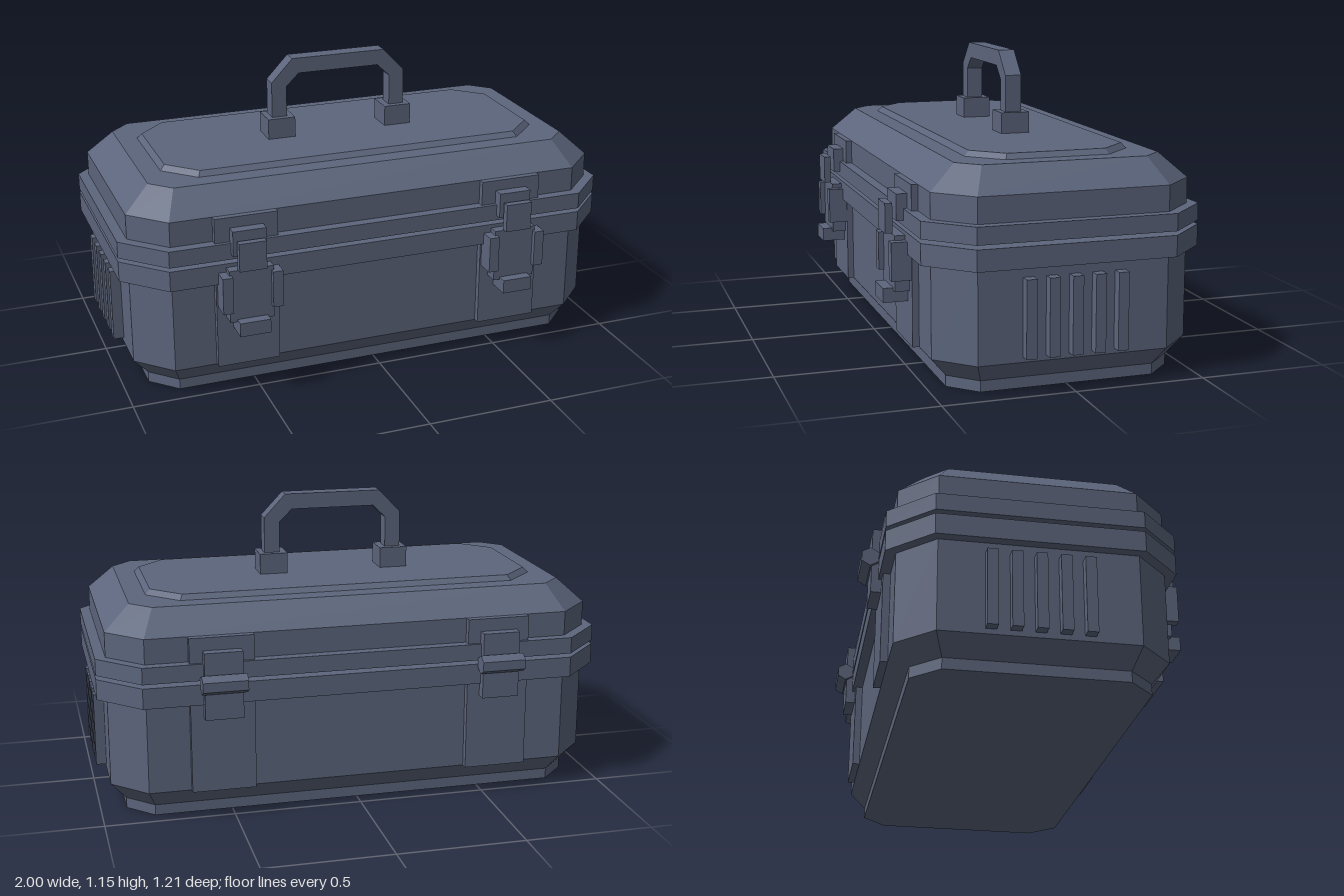
import * as THREE from 'three';

const ZC = -0.006; // shared depth centre of the shells

// Loft through chamfered rectangles: each ring is [y, halfX, halfZ, chamfer]
function octagonLoft(rings) {
  const loops = rings.map(([y, hx, hz, c]) => [
    [hx, hz - c], [hx, c - hz], [hx - c, -hz], [c - hx, -hz],
    [-hx, c - hz], [-hx, hz - c], [c - hx, hz], [hx - c, hz],
  ].map(([x, z]) => [x, y, z + ZC]));
  const pos = [];
  const tri = (a, b, c) => pos.push(...a, ...b, ...c);
  for (let r = 0; r < loops.length - 1; r++) {
    const a = loops[r], b = loops[r + 1];
    for (let i = 0; i < 8; i++) {
      const j = (i + 1) % 8;
      tri(a[i], a[j], b[j]);
      tri(a[i], b[j], b[i]);
    }
  }
  const bottom = loops[0], top = loops[loops.length - 1];
  for (let i = 1; i < 7; i++) {
    tri(top[0], top[i], top[i + 1]);
    tri(bottom[0], bottom[i + 1], bottom[i]);
  }
  const geo = new THREE.BufferGeometry();
  geo.setAttribute('position', new THREE.Float32BufferAttribute(pos, 3));
  geo.computeVertexNormals();
  return geo;
}

export function createModel() {
  const model = new THREE.Group();
  model.name = 'toolbox';
  const paint = new THREE.MeshStandardMaterial({ color: 0x5c657c, flatShading: true });
  paint.name = 'slate blue';

  const add = (name, geo, parent = model) => {
    const mesh = new THREE.Mesh(geo, paint);
    mesh.name = name;
    parent.add(mesh);
    return mesh;
  };
  // Box given by its limits on each axis
  const box = (name, x0, x1, y0, y1, z0, z1, parent) => {
    const mesh = add(name, new THREE.BoxGeometry(x1 - x0, y1 - y0, z1 - z0), parent);
    mesh.position.set((x0 + x1) / 2, (y0 + y1) / 2, (z0 + z1) / 2);
    return mesh;
  };

  // Lower case and its rim
  add('lowerCase', octagonLoft([
    [0, 0.9, 0.433, 0.1], [0.042, 0.9, 0.433, 0.1],
    [0.115, 0.96, 0.494, 0.132], [0.47, 0.96, 0.494, 0.132],
  ]));
  add('lowerRim', octagonLoft([[0.465, 1, 0.534, 0.157], [0.545, 1, 0.534, 0.157]]));

  // Lid, its rim and the raised top panel
  add('upperRim', octagonLoft([[0.56, 1, 0.534, 0.157], [0.625, 1, 0.534, 0.157]]));
  add('lid', octagonLoft([
    [0.62, 0.96, 0.494, 0.132], [0.722, 0.96, 0.494, 0.132], [0.815, 0.86, 0.393, 0.078],
  ]));
  add('topPanel', octagonLoft([[0.81, 0.788, 0.322, 0.12], [0.835, 0.765, 0.3, 0.11]]));

  // Ribs on both ends
  for (const side of [-1, 1]) {
    for (let i = 0; i < 5; i++) {
      const z = 0.169 - i * 0.0872;
      box('endRib', side * 0.975 - 0.025, side * 0.975 + 0.025, 0.135, 0.425, z - 0.02, z + 0.02);
    }
  }

  // Reinforcing plates, latches and hinges, one set per side
  for (const side of [-1, 1]) {
    const set = new THREE.Group();
    set.name = side < 0 ? 'rightFittings' : 'leftFittings';
    set.position.x = side * 0.543;
    model.add(set);

    for (const [y0, y1] of [[0.115, 0.468], [0.622, 0.722]]) {
      box('frontPlate', -0.123, 0.123, y0, y1, 0.47, 0.513, set);
      box('backPlate', -0.123, 0.123, y0, y1, -0.528, -0.48, set);
    }

    // Latch
    box('latchCatch', -0.065, 0.065, 0.58, 0.68, 0.5, 0.555, set);
    box('latchHook', -0.053, 0.053, 0.533, 0.645, 0.566, 0.594, set);
    box('latchBody', -0.086, 0.086, 0.32, 0.53, 0.5, 0.568, set);
    box('latchTab', -0.06, 0.06, 0.275, 0.33, 0.51, 0.607, set);
    for (const s of [-1, 1]) {
      box('latchEar', s * 0.097 - 0.02, s * 0.097 + 0.02, 0.367, 0.512, 0.505, 0.588, set);
    }

    // Hinge
    box('hingeUpperLeaf', -0.073, 0.073, 0.575, 0.672, -0.567, -0.5, set);
    box('hingeLowerLeaf', -0.073, 0.073, 0.412, 0.54, -0.567, -0.5, set);
    const pin = add('hingeKnuckle', new THREE.CylinderGeometry(0.037, 0.037, 0.172, 6)
      .rotateY(Math.PI / 6).rotateZ(Math.PI / 2), set);
    pin.geometry.computeBoundingBox();
    // Put the hexagon's points at top and bottom
    const size = pin.geometry.boundingBox.getSize(new THREE.Vector3());
    if (size.z > size.y) pin.geometry.rotateX(Math.PI / 6);
    pin.position.set(0, 0.551, -0.573);

    // Handle foot
    box('handleFoot', side * 0.249 - 0.056, side * 0.249 + 0.056, 0.83, 0.917, -0.064, 0.05);
  }

  // Handle arch
  const arch = new THREE.Shape([
    [-0.282, 0.9], [-0.22, 0.9], [-0.22, 1.04], [-0.168, 1.09],
    [0.168, 1.09], [0.22, 1.04], [0.22, 0.9], [0.282, 0.9],
    [0.282, 1.06], [0.195, 1.152], [-0.195, 1.152], [-0.282, 1.06],
  ].map(([x, y]) => new THREE.Vector2(x, y)));
  const handle = add('handle', new THREE.ExtrudeGeometry(arch, { depth: 0.065, bevelEnabled: false }));
  handle.position.z = -0.039;

  return model;
}
